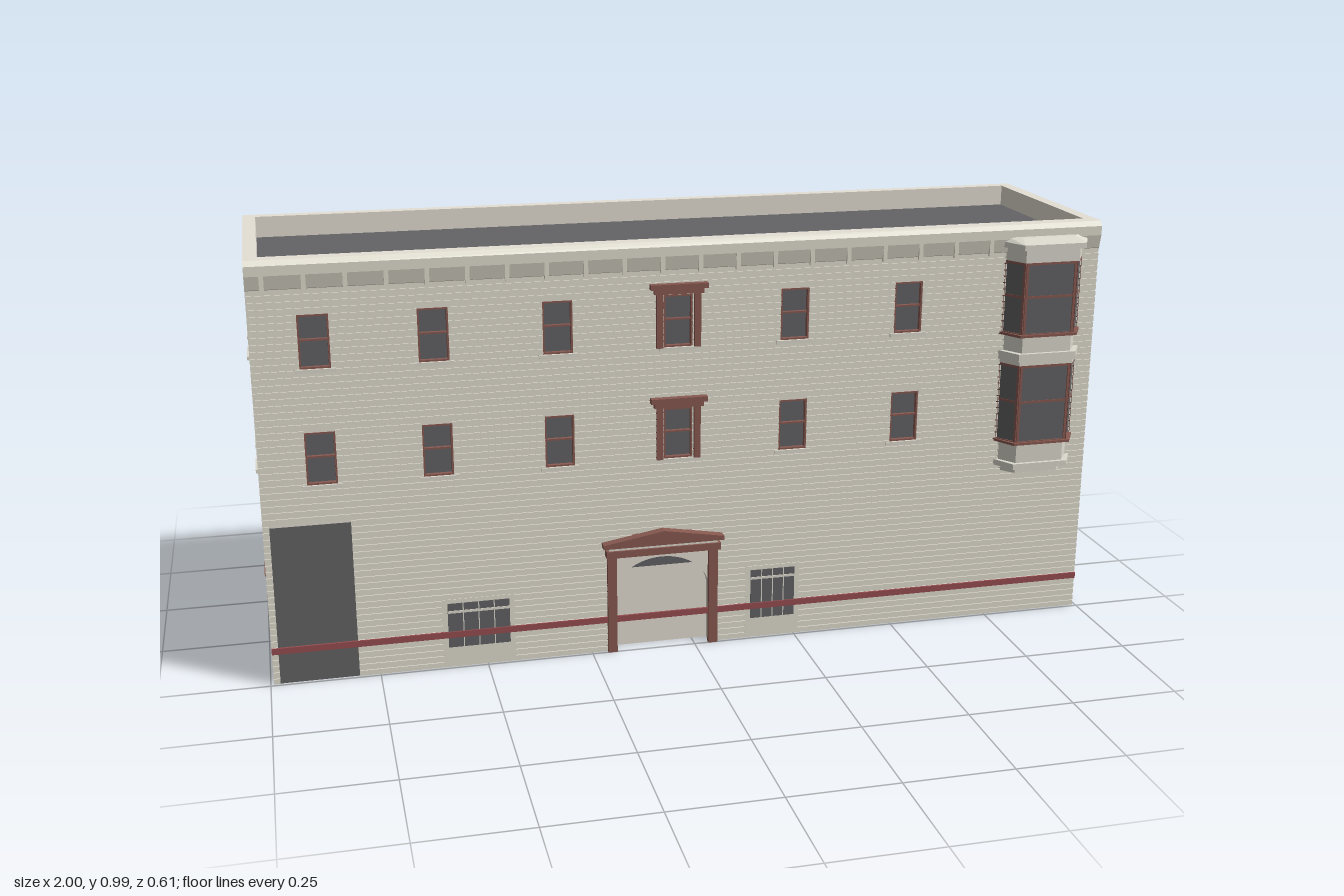
import * as THREE from 'three';
import { mergeGeometries } from 'three/addons/utils/BufferGeometryUtils.js';

const mat = (name, color) => Object.assign(new THREE.MeshStandardMaterial({ color }), { name });
const M = {
  wall: mat('wall plaster', 0xe6e0d5),
  siding: mat('siding cream', 0xe3dfd0),
  trim: mat('pale trim', 0xdddbcf),
  red: mat('brown red trim', 0x895a51),
  stripe: mat('red stripe', 0x984e51),
  glass: mat('dark glass', 0x636366),
  roof: mat('roof grey', 0x646467),
  door: mat('door grey', 0x646465),
};
const T = 0.03, H = 0.99, FRONT = 0.24, BACK = -0.295, SIDE = 0.993;

// Box geometry given by its limits
function boxGeo(x0, x1, y0, y1, z0, z1) {
  return new THREE.BoxGeometry(x1 - x0, y1 - y0, z1 - z0).translate((x0 + x1) / 2, (y0 + y1) / 2, (z0 + z1) / 2);
}
function add(parent, name, material, ...geos) {
  const mesh = new THREE.Mesh(geos.length > 1 ? mergeGeometries(geos) : geos[0], material);
  mesh.name = name;
  parent.add(mesh);
  return mesh;
}
function group(parent, name, x = 0, y = 0, z = 0, turn = 0) {
  const g = new THREE.Group();
  g.name = name;
  g.position.set(x, y, z);
  g.rotation.y = turn;
  parent.add(g);
  return g;
}
function rectPath(x0, x1, y0, y1) {
  const p = new THREE.Path();
  p.moveTo(x0, y0); p.lineTo(x1, y0); p.lineTo(x1, y1); p.lineTo(x0, y1); p.closePath();
  return p;
}
const extrude = (shape, depth) => new THREE.ExtrudeGeometry(shape, { depth, bevelEnabled: false, curveSegments: 16 });

// Wall whose outer face is local z = 0; the doorway, arched if it has a rise, is cut into the outline
function wall(parent, x0, x1, holes, [a, b, h, rise]) {
  const s = new THREE.Shape();
  s.moveTo(x0, 0);
  s.lineTo(a, 0); s.lineTo(a, h);
  if (rise) s.absellipse((a + b) / 2, h, (b - a) / 2, rise, Math.PI, 0, true);
  s.lineTo(b, h); s.lineTo(b, 0);
  s.lineTo(x1, 0); s.lineTo(x1, H); s.lineTo(x0, H); s.closePath();
  holes.forEach(r => s.holes.push(rectPath(...r)));
  add(parent, 'wallPanel', M.wall, extrude(s, T).translate(0, 0, -T));
}

// Rectangular frame with one cross rail
function frameGeos(x0, x1, y0, y1, z0, z1, w) {
  const ym = y0 + (y1 - y0) * 0.53;
  return [boxGeo(x0, x0 + w, y0, y1, z0, z1), boxGeo(x1 - w, x1, y0, y1, z0, z1),
    boxGeo(x0 + w, x1 - w, y0, y0 + w, z0, z1), boxGeo(x0 + w, x1 - w, y1 - w, y1, z0, z1),
    boxGeo(x0 + w, x1 - w, ym - w / 2, ym + w / 2, z0, z1 - 0.002)];
}
const WIN = [0.475, 0.743];
const winRect = (x, y) => [x - 0.034, x + 0.034, y, y + 0.122];
function sashWindow(parent, x, y) {
  const g = group(parent, 'sashWindow'), r = winRect(x, y);
  add(g, 'windowGlass', M.glass, boxGeo(...r, -0.016, -0.01));
  add(g, 'windowFrame', M.red, ...frameGeos(...r, -0.012, 0.001, 0.004));
  add(g, 'windowSill', M.trim, boxGeo(x - 0.044, x + 0.044, y - 0.008, y, -0.005, 0.007));
}

// Doorway with the leaf swung inwards on the viewer's left and a one-sided inner lining
function openDoor(parent, x) {
  const g = group(parent, 'openDoor');
  add(g, 'doorLeaf', M.door, boxGeo(x - 0.042, x - 0.035, 0.004, 0.172, -0.085, -0.004));
  add(g, 'doorLintel', M.red, boxGeo(x - 0.046, x + 0.046, 0.178, 0.186, -0.005, 0.006));
  add(g, 'innerLining', M.wall, new THREE.PlaneGeometry(0.084, 0.178).rotateY(Math.PI).translate(x, 0.089, -T));
}
function plainWall(parent, name, pos, turn, x0, x1, xs, doorX) {
  const g = group(parent, name, ...pos, turn);
  const spots = xs.flatMap(x => WIN.map(y => [x, y]));
  wall(g, x0, x1, spots.map(p => winRect(...p)), [doorX - 0.042, doorX + 0.042, 0.178]);
  spots.forEach(p => sashWindow(g, ...p));
  openDoor(g, doorX);
}

// Grooved boards, interrupted wherever an opening crosses a row
function siding(parent, openings) {
  const geos = [], pitch = 0.0155, groove = 0.003;
  for (let y = 0; y < 0.925; y += pitch) {
    let x = -SIDE;
    const cuts = openings.filter(o => o[2] < y + pitch - 0.002 && o[3] > y + 0.002).sort((a, b) => a[0] - b[0]);
    [...cuts, [SIDE, SIDE]].forEach(([a, b]) => {
      if (a - x > 0.002) geos.push(boxGeo(x, a, y, y + pitch - groove, -0.002, 0.003));
      x = Math.max(x, b);
    });
  }
  add(parent, 'sidingBoards', M.siding, ...geos);
}

// Columns, header, pediment and arched fanlight around the main door
function entrance(parent) {
  const g = group(parent, 'entrance', -0.078);
  [-0.123, 0.123].forEach(x => add(g, 'entrancePost', M.red, boxGeo(x - 0.011, x + 0.011, 0, 0.247, 0, 0.012)));
  add(g, 'entranceHeader', M.red, boxGeo(-0.138, 0.138, 0.245, 0.262, 0, 0.025));
  add(g, 'headerBand', M.trim, boxGeo(-0.132, 0.132, 0.262, 0.269, 0, 0.02));
  const tri = new THREE.Shape();
  tri.moveTo(-0.146, 0.269); tri.lineTo(0.146, 0.269); tri.lineTo(0.146, 0.279); tri.lineTo(0, 0.304); tri.lineTo(-0.146, 0.279);
  add(g, 'pediment', M.red, extrude(tri, 0.026));
  const fan = new THREE.Shape();
  fan.absellipse(0, 0.14, 0.114, 0.09, 0.8, Math.PI - 0.8);
  add(g, 'fanlight', M.glass, extrude(fan, 0.006).translate(0, 0, -0.016));
  add(g, 'archBacking', M.wall, boxGeo(-0.12, 0.12, 0, 0.235, -T - 0.002, -T + 0.004));
  add(g, 'doorLeaf', M.red, boxGeo(-0.114, -0.106, 0.003, 0.2, -0.215, -T - 0.002));
  [-0.115, -0.1055].forEach(x => add(g, 'doorGlass', M.glass, boxGeo(x, x + 0.0005, 0.06, 0.175, -0.19, -0.045)));
}

// Canted bay: trapezoid slices, each [y0, y1, back half width, front half width, depth]
function bayWindow(parent) {
  const g = group(parent, 'bayWindow', 0.853, 0, -0.003);
  const slice = ([y0, y1, wb, wf, d]) => {
    const s = new THREE.Shape();
    s.moveTo(-wb, 0); s.lineTo(wb, 0); s.lineTo(wf, -d); s.lineTo(-wf, -d); s.closePath();
    return extrude(s, y1 - y0).rotateX(-Math.PI / 2).translate(0, y0, 0);
  };
  const stack = [[0.38, 0.396, 0.085, 0.055, 0.035], [0.396, 0.41, 0.102, 0.07, 0.056], [0.41, 0.46, 0.092, 0.06, 0.047],
    [0.656, 0.667, 0.102, 0.068, 0.053], [0.667, 0.686, 0.106, 0.073, 0.058], [0.686, 0.728, 0.094, 0.062, 0.049],
    [0.906, 0.938, 0.1, 0.068, 0.055], [0.938, 0.951, 0.111, 0.078, 0.066]];
  add(g, 'bayTrim', M.trim, ...stack.map(slice));
  // sloping roof of the bay
  const cap = slice([0.951, 0.961, 0.111, 0.078, 0.066]), p = cap.attributes.position;
  for (let i = 0; i < p.count; i++) if (p.getY(i) > 0.956) p.setXYZ(i, p.getX(i) * 0.85, p.getY(i), p.getZ(i) * 0.4);
  cap.computeVertexNormals();
  add(g, 'bayRoof', M.trim, cap);
  const wb = 0.098, wf = 0.064, d = 0.05, len = Math.hypot(wb - wf, d), turn = Math.atan2(d, wb - wf);
  [[0.46, 0.656], [0.728, 0.906]].forEach(([y0, y1]) => {
    add(g, 'bayGlass', M.glass, slice([y0, y1, wb, wf, d]));
    add(g, 'baySill', M.red, slice([y0 - 0.002, y0 + 0.004, 0.106, 0.072, 0.058]));
    [[0, d, wf, 0], [(wb + wf) / 2, d / 2, len / 2, turn], [-(wb + wf) / 2, d / 2, len / 2, -turn]].forEach(([x, z, half, a]) => {
      const f = group(g, 'bayFace', x, 0, z, a);
      add(f, 'bayFrame', M.red, ...frameGeos(-half, half, y0, y1, -0.002, 0.003, 0.006));
    });
  });
}

// Wide ground-floor window with pale glazing bars and a plain surround
function lowWindow(parent, x0, x1, y1, bars) {
  const g = group(parent, 'lowWindow'), y0 = 0.05;
  add(g, 'lowSurround', M.siding, boxGeo(x0 - 0.012, x1 + 0.012, 0, y1 + 0.01, -0.002, 0.003));
  add(g, 'lowGlass', M.glass, boxGeo(x0, x1, y0, y1, 0, 0.004));
  const geos = [boxGeo(x0, x1, y1 - 0.024, y1 - 0.018, 0, 0.0055)];
  for (let i = 1; i < bars; i++) {
    const x = x0 + (x1 - x0) * i / bars;
    geos.push(boxGeo(x - 0.0012, x + 0.0012, y0, y1, 0, 0.005));
  }
  add(g, 'glazingBars', M.trim, ...geos);
}

function frontWall(parent) {
  const g = group(parent, 'frontWall', 0, 0, FRONT);
  const spots = [-0.855, -0.596, -0.318, -0.04, 0.238, 0.516].flatMap(x => WIN.map(y => [x, y]));
  const rects = spots.map(p => winRect(...p)), garage = [-0.978, -0.798, 0, 0.38];
  wall(g, -SIDE, SIDE, rects, [-0.193, 0.037, 0.14, 0.09]);
  siding(g, [...rects, garage, [-0.212, 0.056, 0, 0.262], [-0.602, -0.433, 0, 0.17], [0.128, 0.262, 0, 0.185]]);
  spots.forEach(p => sashWindow(g, ...p));
  // hooded surrounds on the middle windows
  WIN.forEach(y => {
    const s = group(g, 'hoodedSurround', -0.04, y);
    add(s, 'surround', M.red, boxGeo(-0.052, -0.037, 0, 0.126, 0, 0.011), boxGeo(0.037, 0.052, 0, 0.126, 0, 0.011),
      boxGeo(-0.058, 0.058, 0.126, 0.138, 0, 0.015), boxGeo(-0.067, 0.067, 0.138, 0.15, 0, 0.02));
  });
  add(g, 'garageShutter', M.door, boxGeo(...garage, -0.002, 0.001));
  lowWindow(g, -0.59, -0.445, 0.16, 4);
  lowWindow(g, 0.14, 0.25, 0.175, 4);
  add(g, 'wallStripe', M.stripe, boxGeo(-SIDE, SIDE, 0.075, 0.09, 0.002, 0.007));
  entrance(g);
  bayWindow(g);
  // softly flared cornice with small brackets
  const c = new THREE.Shape();
  [[0, 0.92], [0.004, 0.925], [0.011, 0.956], [0.011, 0.978], [0.004, H], [0, H]].forEach(([z, y], i) => i ? c.lineTo(-z, y) : c.moveTo(-z, y));
  add(g, 'cornice', M.siding, extrude(c, SIDE * 2).rotateY(Math.PI / 2).translate(-SIDE, 0, 0));
  const brackets = [];
  for (let i = 0; i < 20; i++) brackets.push(boxGeo(-0.962 + i * 0.088, -0.952 + i * 0.088, 0.918, 0.956, 0, 0.011));
  add(g, 'corniceBrackets', M.siding, ...brackets);
}

export function createModel() {
  const root = new THREE.Group();
  root.name = 'building';
  frontWall(root);
  const z0 = BACK + T, z1 = FRONT - T;
  plainWall(root, 'rightWall', [SIDE, 0, 0], Math.PI / 2, -z1, -z0, [-0.067, 0.125], 0.027);
  plainWall(root, 'leftWall', [-SIDE, 0, 0], -Math.PI / 2, z0, z1, [-0.125, 0.062], -0.025);
  plainWall(root, 'backWall', [0, 0, BACK], Math.PI, -SIDE, SIDE, [0.885], 0.888);
  add(root, 'roof', M.roof, boxGeo(-SIDE + T, SIDE - T, 0.925, 0.94, z0, z1));
  return root;
}
